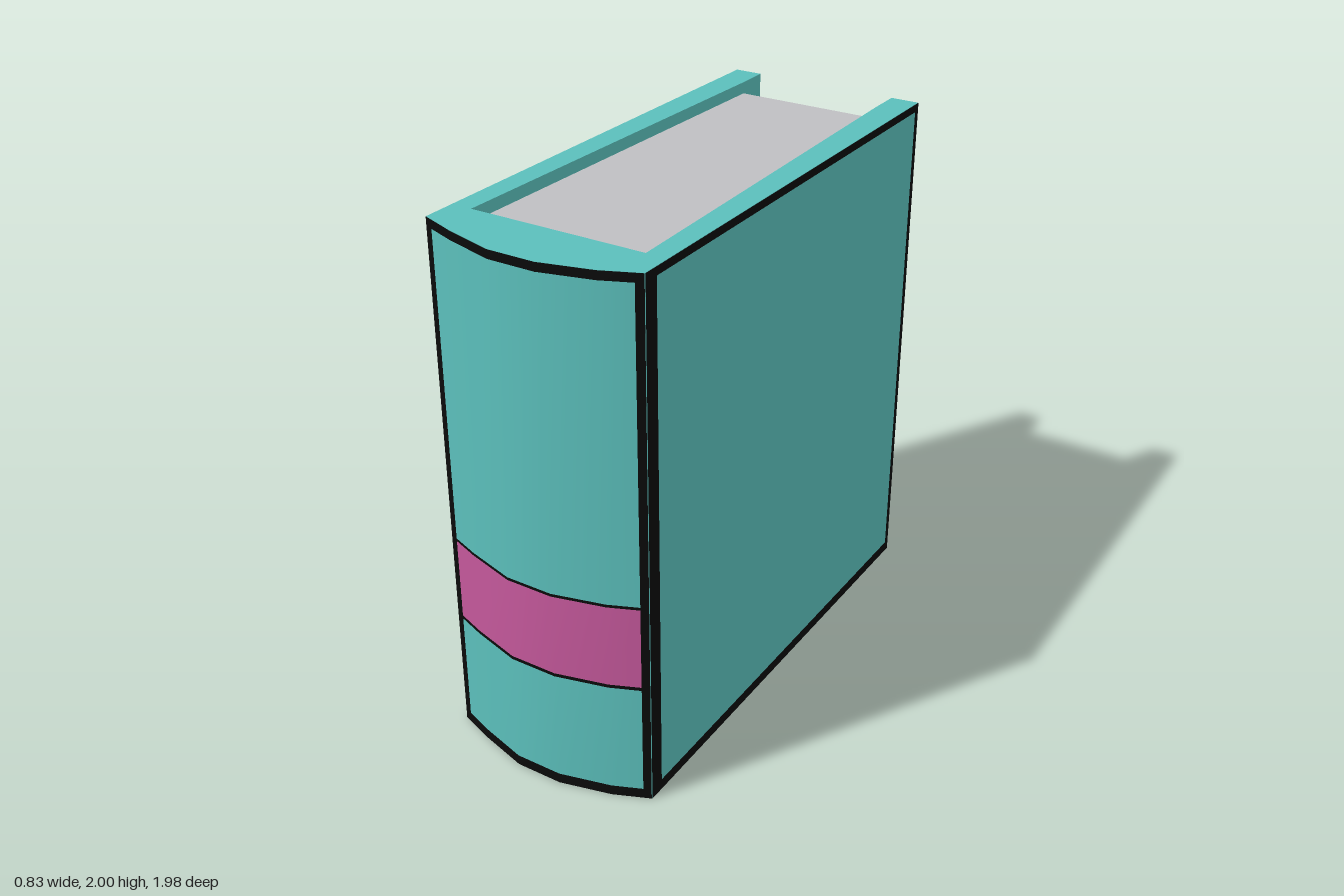
import * as THREE from 'three';

const material = (name, color) => {
  const m = new THREE.MeshStandardMaterial({ color });
  m.name = name;
  return m;
};

// Outline of the rounded spine in plan, as [x, z]
const SPINE = [[-0.415, 0.88], [-0.28, 0.93], [-0.09, 0.985], [0.09, 0.985], [0.28, 0.937], [0.412, 0.88]];
const BACK = -0.99;
const LIFT = 0.002; // painted faces sit just outside the cover

function spineZ(x) {
  for (let i = 1; i < SPINE.length; i++) {
    const [x0, z0] = SPINE[i - 1], [x1, z1] = SPINE[i];
    if (x <= x1) return z0 + (z1 - z0) * (x - x0) / (x1 - x0);
  }
  return SPINE[SPINE.length - 1][1];
}

// Solid standing upright over a plan outline
function upright(plan, y0, y1) {
  const shape = new THREE.Shape(plan.map(([x, z]) => new THREE.Vector2(x, -z)));
  const g = new THREE.ExtrudeGeometry(shape, { depth: y1 - y0, bevelEnabled: false });
  return g.rotateX(-Math.PI / 2).translate(0, y0, 0);
}

// Upright strip along a plan path, facing to the right of travel
function strip(path, y0, y1) {
  const pos = [], index = [];
  path.forEach(([x, z], i) => {
    pos.push(x, y0, z, x, y1, z);
    if (i) {
      const a = 2 * i - 2;
      index.push(a, a + 2, a + 3, a, a + 3, a + 1);
    }
  });
  const g = new THREE.BufferGeometry();
  g.setAttribute('position', new THREE.Float32BufferAttribute(pos, 3));
  g.setIndex(index);
  g.computeVertexNormals();
  return g;
}

export function createModel() {
  const teal = material('teal cover', 0x5bbfbb);
  const black = material('black trim', 0x0a0a0a);
  const pink = material('pink label', 0xc4589b);
  const paper = material('grey paper', 0xbfbec2);

  const book = new THREE.Group();
  book.name = 'book';
  const add = (name, geometry, mat) => {
    const mesh = new THREE.Mesh(geometry, mat);
    mesh.name = name;
    book.add(mesh);
  };

  // Cover: two boards joined by the spine
  add('cover', upright([
    ...SPINE, [0.4, BACK], [0.29, BACK], [0.29, -0.86], [0.332, 0.755],
    [-0.335, 0.755], [-0.285, -0.86], [-0.285, BACK], [-0.392, BACK],
  ], 0, 2), teal);

  // Page block, recessed at top, bottom and back
  add('pages', upright([[-0.335, 0.755], [0.332, 0.755], [0.29, -0.86], [-0.285, -0.86]], 0.045, 1.955), paper);

  // Spine faces: trim, panels and label
  const onSpine = (name, x0, x1, y0, y1, mat) => {
    const xs = [x0, ...SPINE.map((p) => p[0]).filter((x) => x > x0 && x < x1), x1];
    add(name, strip(xs.map((x) => [x, spineZ(x) + LIFT]), y0, y1), mat);
  };
  const L = -0.385, R = 0.385;
  onSpine('spineTrimLeftEdge', -0.415, L, 0, 2, black);
  onSpine('spineTrimRightEdge', R, 0.412, 0, 2, black);
  [
    ['spineTrimBottom', 0, 0.04, black], ['spineLowerPanel', 0.04, 0.47, teal],
    ['labelLowerLine', 0.47, 0.483, black], ['label', 0.483, 0.8, pink],
    ['labelUpperLine', 0.8, 0.811, black], ['spineUpperPanel', 0.811, 1.968, teal],
    ['spineTrimTop', 1.968, 2, black],
  ].forEach(([name, y0, y1, mat]) => onSpine(name, L, R, y0, y1, mat));

  // Black border around each board's outer face
  for (const s of [1, -1]) {
    const [xFront, xBack] = s > 0 ? [0.412, 0.4] : [0.415, 0.392];
    const [hinge, fore] = s > 0 ? [0.82, -0.965] : [0.835, -0.945];
    const at = (z) => [s * (xBack + (xFront - xBack) * (z - BACK) / (0.88 - BACK) + LIFT), z];
    const border = (name, z0, z1, y0, y1) => {
      const path = [at(z0), at(z1)];
      add((s > 0 ? 'left' : 'right') + name, strip(s > 0 ? path : path.reverse(), y0, y1), black);
    };
    border('HingeTrim', 0.88, hinge, 0, 2);
    border('ForeEdgeTrim', fore, BACK, 0, 2);
    border('BottomTrim', hinge, fore, 0, 0.042);
    border('TopTrim', hinge, fore, 1.97, 2);
  }
  return book;
}
